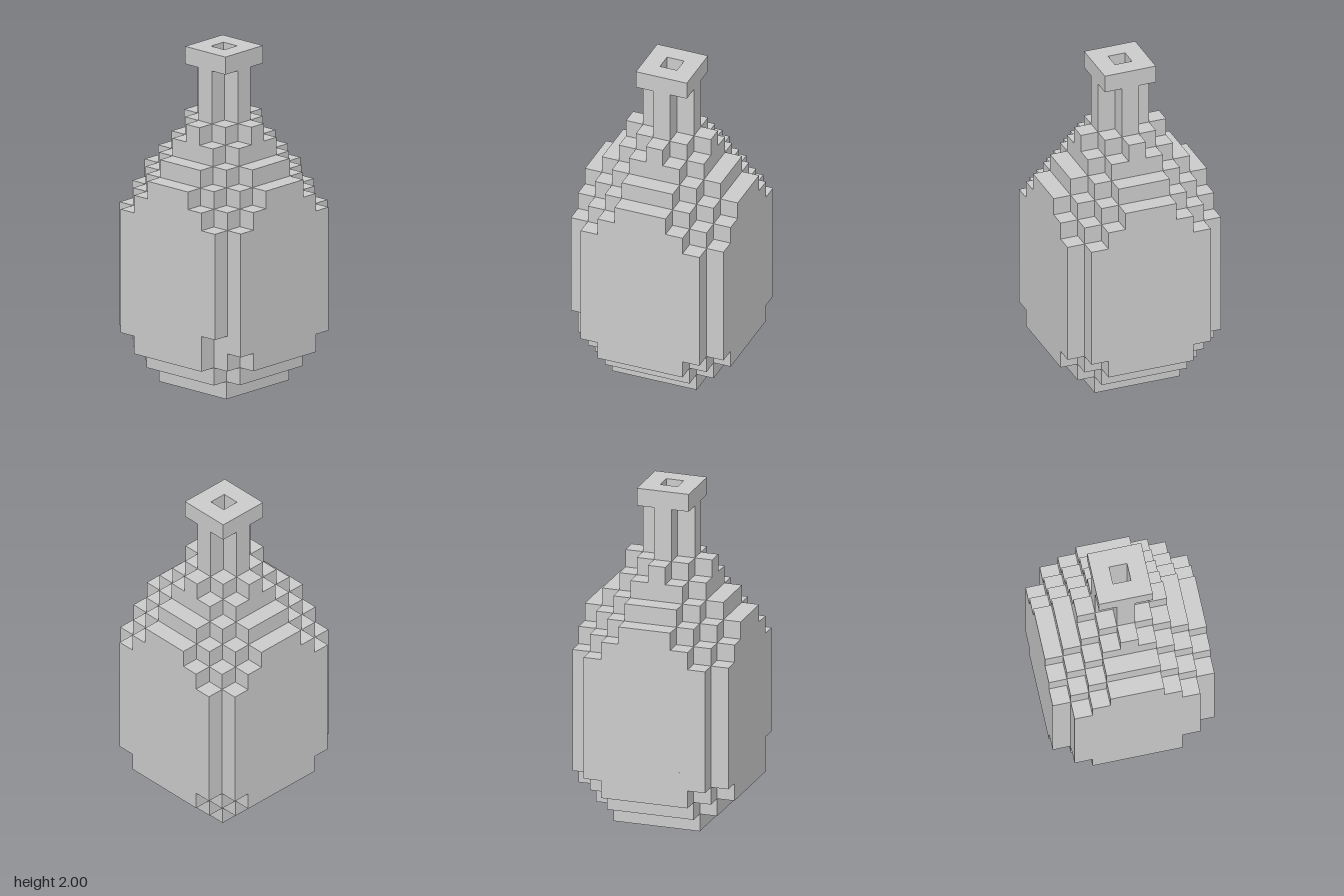
import * as THREE from 'three';

const U = 2 / 19; // edge of one block; the bottle is 19 blocks tall
const material = new THREE.MeshStandardMaterial({ color: 0xcccccc, flatShading: true });

// Stepped outline of the blocks with |x| <= m, |z| <= m and |x| + |z| <= s.
// chipped drops the single block at x = -4, z = 3.
function outline(m, s, chipped = false) {
  const points = [];
  for (let q = 0; q < 4; q++) {
    const corner = [];
    for (let i = 0; i <= 2 * m - s; i++) {
      corner.push([m - i + 0.5, s - m + i + 0.5]);
      if (i < 2 * m - s) corner.push([m - i - 0.5, s - m + i + 0.5]);
    }
    for (let [x, z] of corner) {
      for (let r = 0; r < q; r++) [x, z] = [-z, x];
      points.push(new THREE.Vector2(x * U, z * U));
    }
    if (chipped && q === 1) {
      points.pop();
      points.push(new THREE.Vector2(-3.5 * U, 2.5 * U), new THREE.Vector2(-4.5 * U, 2.5 * U));
    }
  }
  return points;
}

// Horizontal slab from block level y0 up to y1
function slab(name, y0, y1, points, hole) {
  const shape = new THREE.Shape(points);
  if (hole) shape.holes.push(new THREE.Path(hole));
  const geometry = new THREE.ExtrudeGeometry(shape, { depth: (y1 - y0) * U, bevelEnabled: false });
  geometry.rotateX(Math.PI / 2).translate(0, y1 * U, 0);
  const mesh = new THREE.Mesh(geometry, material);
  mesh.name = name;
  return mesh;
}

export function createModel() {
  const bottle = new THREE.Group();
  bottle.name = 'bottle';

  // Base, belly and shoulder: [name, bottom, top, m, s, chipped]
  const layers = [
    ['base', 0, 1, 2, 4],
    ['lowerStep', 1, 2, 3, 5],
    ['lowerBelly', 2, 3, 4, 6],
    ['chippedBelly', 3, 4, 4, 7, true],
    ['belly', 4, 10, 4, 7],
    ['upperBelly', 10, 11, 4, 6],
    ['lowerShoulder', 11, 12, 4, 5],
    ['middleShoulder', 12, 13, 3, 4],
    ['upperShoulder', 13, 14, 2, 3],
    ['collar', 14, 15, 2, 2],
  ];
  for (const [name, y0, y1, m, s, chipped] of layers) {
    bottle.add(slab(name, y0, y1, outline(m, s, chipped)));
  }

  // Hollow neck: four columns around the bore
  const neck = new THREE.Group();
  neck.name = 'neck';
  for (const [x, z] of [[1, 0], [0, 1], [-1, 0], [0, -1]]) {
    const column = new THREE.Mesh(new THREE.BoxGeometry(U, 3 * U, U), material);
    column.name = 'neckColumn';
    column.position.set(x * U, 16.5 * U, z * U);
    neck.add(column);
  }
  bottle.add(neck);

  // Square lip with an open mouth
  bottle.add(slab('lip', 18, 19, outline(1, 2), outline(0, 0)));
  return bottle;
}
